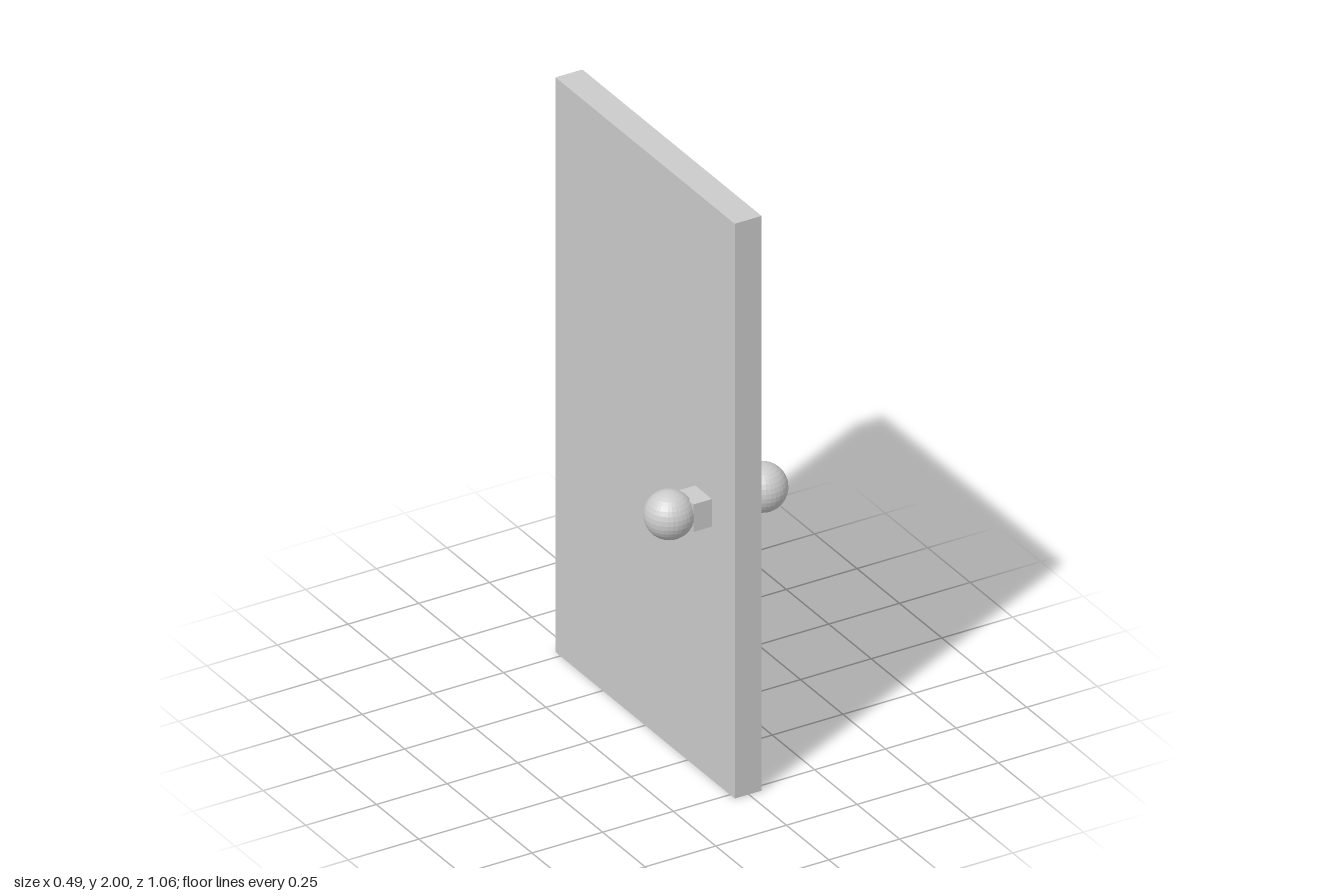
import * as THREE from 'three';

export function createModel() {
  const group = new THREE.Group();
  const material = new THREE.MeshStandardMaterial({ color: 0xcccccc, flatShading: true });

  const add = (name, geometry, x, y, z) => {
    const mesh = new THREE.Mesh(geometry, material);
    mesh.name = name;
    mesh.position.set(x, y, z);
    group.add(mesh);
  };

  // Door slab
  add('doorPanel', new THREE.BoxGeometry(0.095, 2, 1.056), -0.002, 1, 0);

  // Square stem through the door, carrying a round knob on each side
  const knobY = 0.929;
  add('knobStem', new THREE.BoxGeometry(0.23, 0.096, 0.098), 0, knobY, 0.344);
  for (const [name, side] of [['leftKnob', 1], ['rightKnob', -1]]) {
    add(name, new THREE.SphereGeometry(0.079, 32, 16), side * 0.165, knobY, 0.334);
  }

  return group;
}
